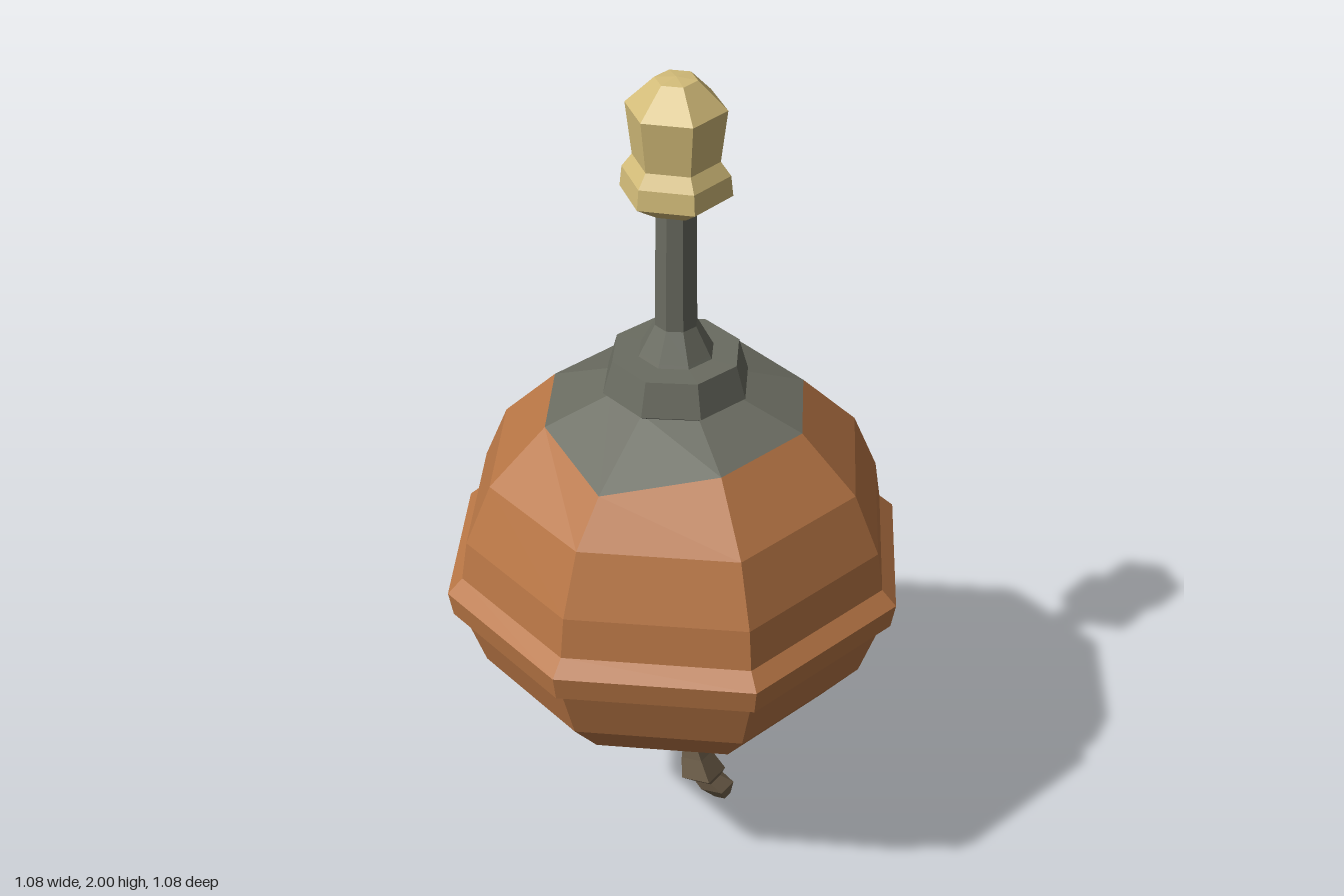
import * as THREE from 'three';

const flat = (name, color) => {
  const m = new THREE.MeshStandardMaterial({ color, flatShading: true });
  m.name = name;
  return m;
};

// Faceted turned part; profile runs bottom to top as [radius, y, xShift]
function turned(name, profile, sides, material, adjust) {
  const geo = new THREE.LatheGeometry(profile.map(([r, y]) => new THREE.Vector2(r, y)), sides);
  const pos = geo.attributes.position;
  const v = new THREE.Vector3();
  for (let i = 0; i < pos.count; i++) {
    v.fromBufferAttribute(pos, i);
    v.x += profile[i % profile.length][2] || 0;
    if (adjust) adjust(v);
    pos.setXYZ(i, v.x, v.y, v.z);
  }
  const faceted = geo.toNonIndexed();
  faceted.computeVertexNormals();
  const mesh = new THREE.Mesh(faceted, material);
  mesh.name = name;
  return mesh;
}

// Widen the diagonal corners a little sideways, and let one cap corner sag
function shapeBody(v) {
  if (Math.abs(v.x) > 0.01 && Math.abs(v.z) > 0.01) {
    v.x *= 1.04;
    v.z *= 0.94;
    if (Math.abs(v.y - 1.22) < 0.001 && v.x < 0 && v.z > 0) v.set(-0.25, 1.185, 0.237);
  }
}

export function createModel() {
  const orange = flat('copper orange', 0xb87645);
  const grey = flat('iron grey', 0x6a6c61);
  const gold = flat('pale gold', 0xd3bc79);
  const brown = flat('root brown', 0x75654f);

  const group = new THREE.Group();
  group.name = 'spinningTop';
  group.add(
    // Round body with the raised belt
    turned('body', [
      [0, 0.345], [0.12, 0.36], [0.24, 0.42], [0.37, 0.5], [0.46, 0.61], [0.505, 0.745],
      [0.53, 0.76], [0.54, 0.82], [0.505, 0.855], [0.49, 0.95], [0.43, 1.09], [0.3, 1.22],
    ], 8, orange, shapeBody),
    // Shoulder cap
    turned('cap', [[0.3, 1.22], [0.15, 1.275], [0, 1.28]], 8, grey, shapeBody),
    // Collar ring, flared neck and stem
    turned('collar', [[0.14, 1.26], [0.167, 1.28], [0.145, 1.357], [0, 1.36]], 8, grey),
    turned('stem', [[0.09, 1.35], [0.082, 1.365], [0.048, 1.43], [0.045, 1.72], [0, 1.72]], 8, grey),
    // Six-sided handle knob
    turned('knob', [
      [0, 1.705], [0.06, 1.705], [0.12, 1.745], [0.115, 1.79], [0.093, 1.82],
      [0.107, 1.935], [0.045, 1.995], [0, 2],
    ], 6, gold),
    // Socket under the body
    turned('socket', [[0, 0.24], [0.05, 0.28], [0.12, 0.362]], 6, brown),
    // Crooked tip
    turned('tip', [
      [0, 0, 0.125], [0.022, 0.012, 0.122], [0.045, 0.055, 0.105], [0.035, 0.085, 0.08],
      [0.06, 0.115, 0.066], [0.04, 0.175, 0.052], [0.027, 0.23, 0.04], [0.038, 0.3, 0.015],
    ], 5, brown),
  );
  return group;
}
